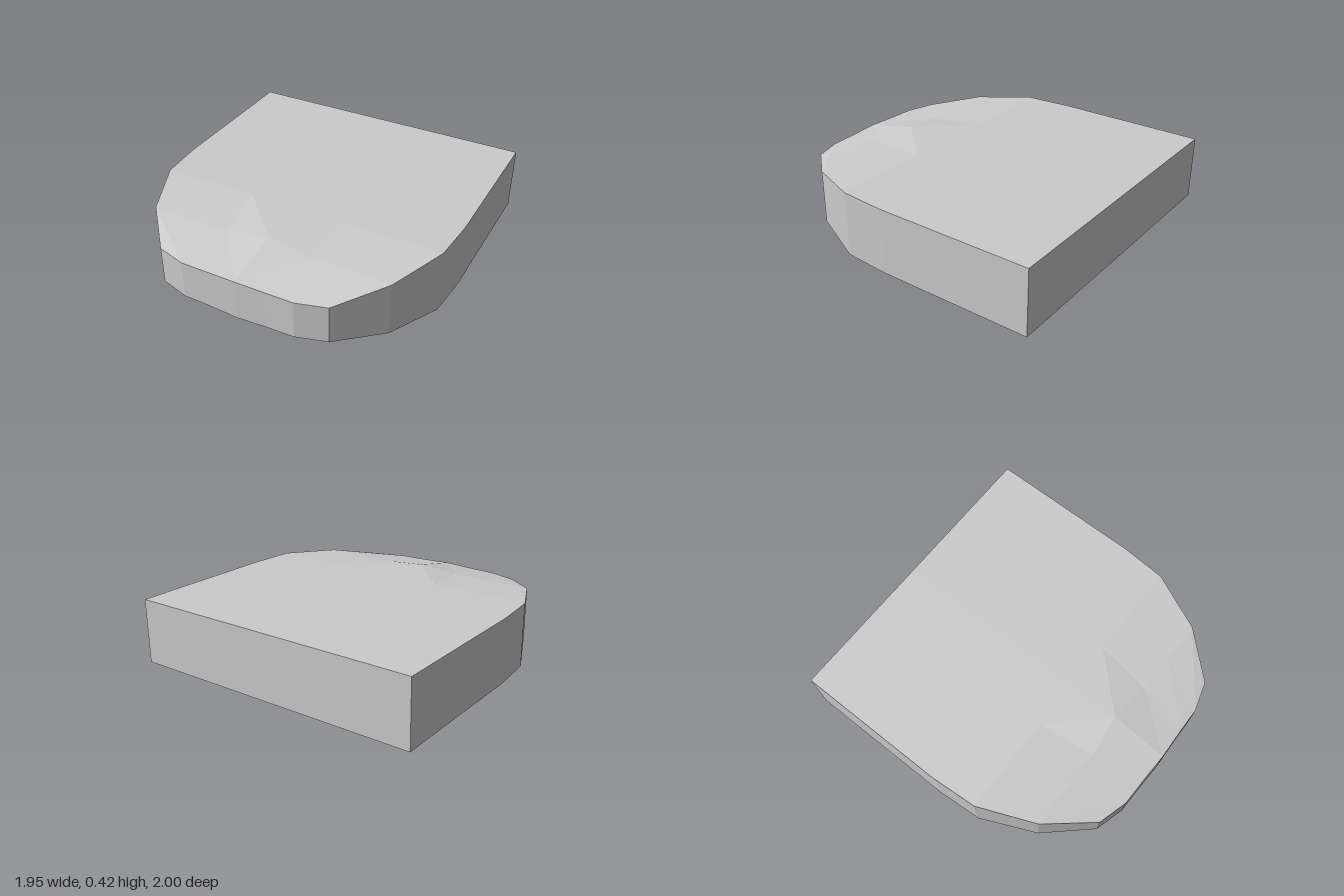
import * as THREE from 'three';

const HEIGHT = 0.418;

// Rows from back to front; each holds [x, z, top y, rim y] from the centre line outward.
const flatRow = (z, half) => [0, 1 / 3, 2 / 3, 1].map((t) => [half * t, z, HEIGHT, 0]);
const rows = [
  flatRow(-1, 0.977),
  flatRow(0, 0.977),
  flatRow(0.3, 0.955),
  [[0, 0.63, 0.417], [0.27, 0.66, 0.387], [0.53, 0.66, 0.387], [0.8, 0.66, 0.387, 0.036]],
  [[0, 1, 0.342, 0.08], [0.2, 0.993, 0.336, 0.085], [0.37, 0.99, 0.334, 0.087], [0.56, 0.935, 0.334, 0.087]],
];
const LAST = rows.length - 1;

const top = (r, c, side) => [rows[r][c][0] * side, rows[r][c][2], rows[r][c][1]];
const rim = (r, c, side) => [rows[r][c][0] * side, rows[r][c][3], rows[r][c][1]];

function makeMesh(name, positions) {
  const geometry = new THREE.BufferGeometry();
  geometry.setAttribute('position', new THREE.Float32BufferAttribute(positions.flat(), 3));
  geometry.computeVertexNormals();
  const material = new THREE.MeshStandardMaterial({ color: 0xcccccc, flatShading: true, side: THREE.DoubleSide });
  const mesh = new THREE.Mesh(geometry, material);
  mesh.name = name;
  return mesh;
}

// Triangle and quad, counter-clockwise from outside; flipped for the mirrored half
const tri = (a, b, c, side) => (side > 0 ? [a, b, c] : [a, c, b]);
const quad = (a, b, c, d, side) => [...tri(a, b, d, side), ...tri(b, c, d, side)];

// Top skin with the sloping nose
function topSkin() {
  const tris = [];
  for (const s of [1, -1]) {
    for (let r = 0; r < LAST; r++) {
      for (let c = 0; c < 3; c++) {
        tris.push(...quad(top(r, c, s), top(r + 1, c, s), top(r + 1, c + 1, s), top(r, c + 1, s), s));
      }
    }
  }
  return makeMesh('topSkin', tris);
}

// Upright wall all the way round
function outerWall() {
  const tris = [];
  for (const s of [1, -1]) {
    for (let r = 0; r < LAST; r++) {
      tris.push(...quad(rim(r, 3, s), top(r, 3, s), top(r + 1, 3, s), rim(r + 1, 3, s), s));
    }
    for (let c = 0; c < 3; c++) {
      tris.push(...quad(rim(LAST, c, s), rim(LAST, c + 1, s), top(LAST, c + 1, s), top(LAST, c, s), s));
      tris.push(...quad(rim(0, c + 1, s), rim(0, c, s), top(0, c, s), top(0, c + 1, s), s));
    }
  }
  return makeMesh('outerWall', tris);
}

// Underside: a shallow recessed panel with sloping borders
function underside() {
  const tris = [];
  for (const s of [1, -1]) {
    const panelBack = [0.72 * s, 0.05, -0.9];
    const panelFront = [0.72 * s, 0.05, 0.21];
    const midBack = [0, 0.05, -0.9];
    const midFront = [0, 0.05, 0.21];
    const corner = rim(0, 3, s);
    const sideEdge = [0.977 * s, 0, -0.69];

    // Recessed panel and back border
    tris.push(...quad(midBack, panelBack, panelFront, midFront, s));
    tris.push(...quad(rim(0, 0, s), corner, panelBack, midBack, s));

    // Side border, from the back corner round to the nose
    tris.push(...tri(panelBack, corner, sideEdge, s));
    tris.push(...tri(panelBack, sideEdge, panelFront, s));
    const path = [sideEdge, rim(1, 3, s), rim(2, 3, s), rim(3, 3, s), ...[3, 2, 1, 0].map((c) => rim(LAST, c, s))];
    for (let i = 0; i < path.length - 1; i++) tris.push(...tri(panelFront, path[i], path[i + 1], s));
    tris.push(...tri(panelFront, rim(LAST, 0, s), midFront, s));
  }
  return makeMesh('underside', tris);
}

export function createModel() {
  const group = new THREE.Group();
  group.name = 'taperedSlab';
  group.add(topSkin(), outerWall(), underside());
  return group;
}
